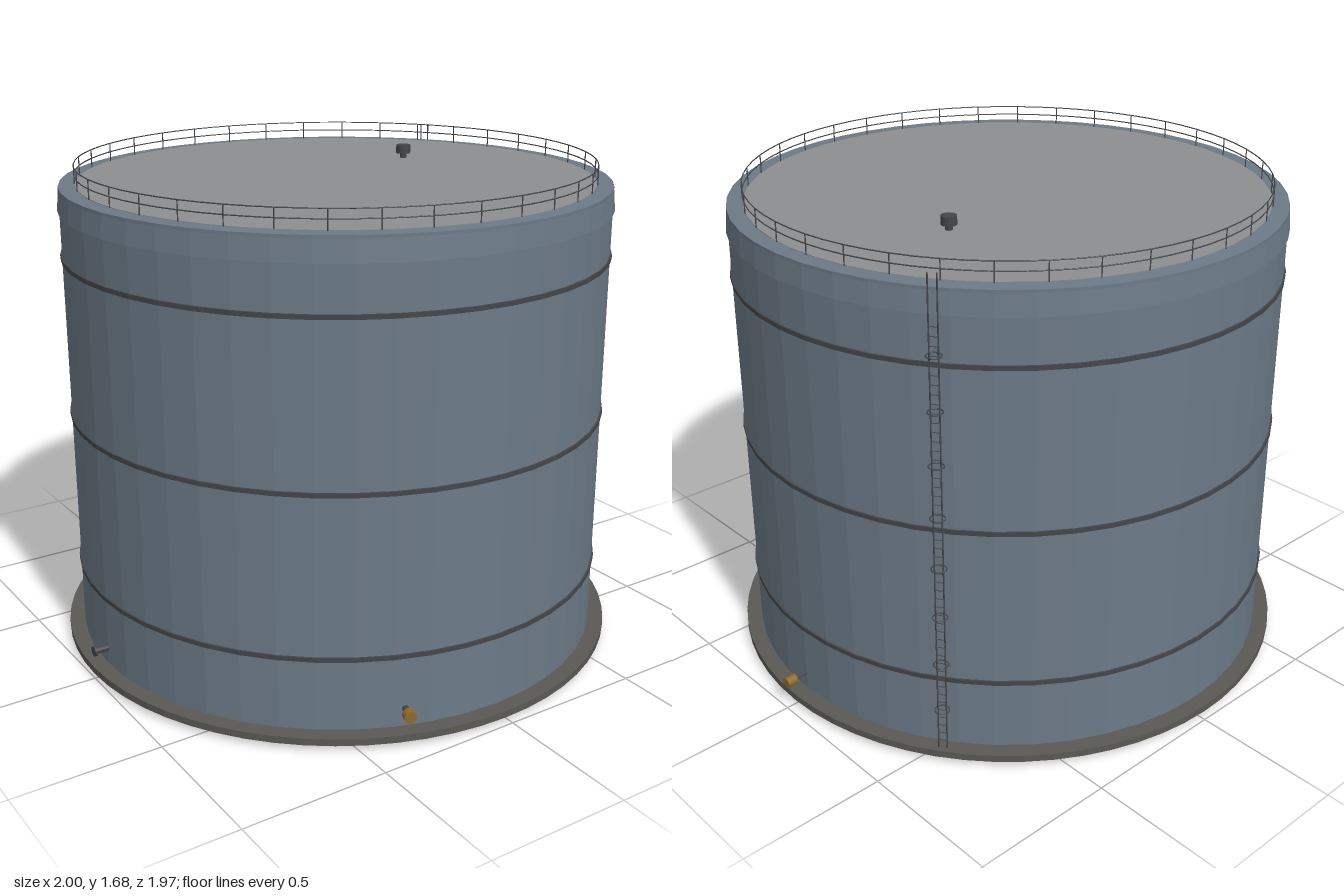
import * as THREE from 'three';

export function createModel() {
  const root = new THREE.Group();
  root.name = 'storageTank';
  const tank = new THREE.Group(); // everything is laid out around the tank axis
  tank.name = 'tank';
  tank.position.x = -0.0165;
  root.add(tank);

  const mat = (color, extra = {}) =>
    new THREE.MeshStandardMaterial({ color, flatShading: true, ...extra });
  const steel = mat(0x6c7a87);
  const roofGrey = mat(0x8c8e90);
  const concrete = mat(0x5a5954);
  const dark = mat(0x45464a);
  const brass = mat(0x8f6a2c);

  const SIDES = 48, R = 0.93, TOP = 1.615;

  const add = (name, geo, material, x = 0, y = 0, z = 0, parent = tank) => {
    const m = new THREE.Mesh(geo, material);
    m.name = name;
    m.position.set(x, y, z);
    parent.add(m);
    return m;
  };
  const cyl = (r1, r2, h, n = SIDES, open = false) =>
    new THREE.CylinderGeometry(r1, r2, h, n, 1, open);
  const hoop = (r, t, n) => new THREE.TorusGeometry(r, t, 6, n).rotateX(Math.PI / 2);
  // group whose local +x points outward at the given angle (towards +z)
  const radialGroup = (name, degrees) => {
    const g = new THREE.Group();
    g.name = name;
    g.rotation.y = -THREE.MathUtils.degToRad(degrees);
    tank.add(g);
    return g;
  };

  // Base slab and shell
  add('baseSlab', cyl(0.984, 0.984, 0.024, 64), concrete, 0, 0.029);
  add('shell', cyl(R, R, TOP - 0.04), steel, 0, (TOP + 0.04) / 2);

  // Collar around the rim, slightly flared at its lower edge
  const collar = [[R - 0.005, 1.535], [0.937, 1.535], [0.929, TOP], [0.87, TOP + 0.001]]
    .map(p => new THREE.Vector2(...p));
  add('rimCollar', new THREE.LatheGeometry(collar, SIDES), mat(0x6c7a87, { side: THREE.DoubleSide }));
  add('roof', cyl(0.875, 0.875, 0.006), roofGrey, 0, TOP);

  // Stiffening bands
  for (const y of [0.288, 0.835, 1.38])
    add('stiffeningBand', cyl(0.936, 0.936, 0.015), dark, 0, y);

  // Guard rail on the roof edge
  const rail = new THREE.Group();
  rail.name = 'guardRail';
  tank.add(rail);
  for (const y of [1.65, 1.68])
    add('railRing', hoop(0.876, 0.002, 72), dark, 0, y, 0, rail);
  const post = cyl(0.002, 0.002, 0.066, 6);
  for (let i = 0; i < 36; i++) {
    const a = (i + 0.5) * Math.PI / 18;
    add('railPost', post, dark, 0.876 * Math.cos(a), 1.647, 0.876 * Math.sin(a), rail);
  }

  // Roof vent
  add('ventStem', cyl(0.012, 0.012, 0.03, 12), dark, 0.42, 1.628, -0.19);
  add('ventCap', cyl(0.026, 0.026, 0.03, 16), dark, 0.42, 1.65, -0.19);

  // Ladder with safety hoops
  const ladder = radialGroup('ladder', -35);
  const LX = 0.962;
  for (const z of [-0.014, 0.014])
    add('ladderRail', cyl(0.0025, 0.0025, 1.67, 6), dark, LX, 0.835, z, ladder);
  const rung = cyl(0.0016, 0.0016, 0.028, 6).rotateX(Math.PI / 2);
  for (let i = 0; i < 50; i++)
    add('ladderRung', rung, dark, LX, 0.04 + i * 0.03, 0, ladder);
  const ladderHoop = hoop(0.024, 0.0022, 12);
  for (let i = 0; i < 8; i++)
    add('ladderHoop', ladderHoop, dark, LX, 0.19 + i * 0.176, 0, ladder);

  // Pipe outlets near the base
  const radialCyl = (r, len, n = 16) => cyl(r, r, len, n).rotateZ(-Math.PI / 2);
  const PY = 0.102;
  const inlet = radialGroup('inletNozzle', 180);
  add('inletPipe', radialCyl(0.011, 0.06), dark, 0.95, PY, 0, inlet);
  add('inletFlange', radialCyl(0.018, 0.008), dark, 0.979, PY, 0, inlet);

  const drain = radialGroup('drainNozzle', 110);
  add('drainPipe', radialCyl(0.011, 0.05), dark, 0.945, PY, 0, drain);
  add('drainValve', radialCyl(0.021, 0.026), brass, 0.974, PY, 0, drain);

  const outlet = radialGroup('outletNozzle', 0);
  add('outletPipe', radialCyl(0.005, 0.06, 8), dark, 0.955, PY, 0, outlet);
  add('outletValve', radialCyl(0.018, 0.037), brass, 0.995, PY, 0, outlet);

  return root;
}
